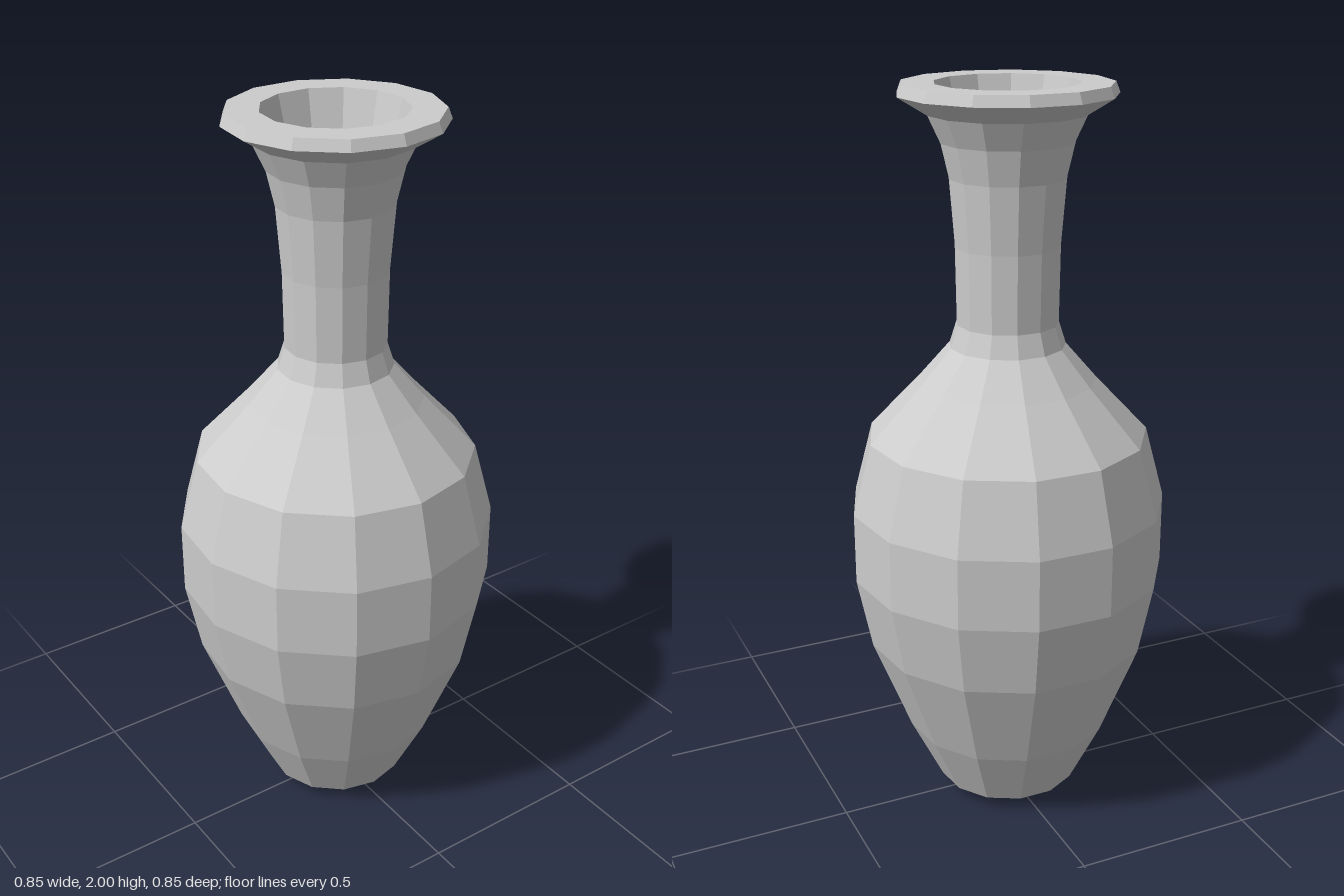
import * as THREE from 'three';

const SIDES = 13;

export function createModel() {
  const clay = new THREE.MeshStandardMaterial({ color: 0xcccccc, flatShading: true });
  clay.name = 'grey clay';

  const vase = new THREE.Group();
  vase.name = 'vase';

  // Turns a [radius, height] profile around the axis, with one corner on +x
  const turn = (name, profile) => {
    const points = profile.map(([r, y]) => new THREE.Vector2(r, y));
    const geometry = new THREE.LatheGeometry(points, SIDES, Math.PI / 2);
    const mesh = new THREE.Mesh(geometry, clay);
    mesh.name = name;
    mesh.position.x = -0.006; // odd side count: centre the outline
    vase.add(mesh);
  };

  // Closed foot with a bevelled edge
  turn('foot', [[0, 0], [0.1, 0], [0.197, 0.04]]);

  // Swelling belly and sloping shoulder
  turn('belly', [
    [0.197, 0.04], [0.285, 0.22], [0.39, 0.49], [0.43, 0.69], [0.43, 0.885],
    [0.378, 1.08], [0.237, 1.23], [0.155, 1.325], [0.136, 1.385],
  ]);

  // Slim neck flaring towards the lip
  turn('neck', [
    [0.136, 1.385], [0.139, 1.59], [0.153, 1.765], [0.174, 1.855], [0.207, 1.925],
  ]);

  // Flared lip with a flat top
  turn('lip', [[0.207, 1.925], [0.283, 1.972], [0.272, 2], [0.187, 2]]);

  // Tapered mouth with a flat floor inside the neck
  turn('mouth', [[0.187, 2], [0.127, 1.75], [0, 1.75]]);

  return vase;
}
